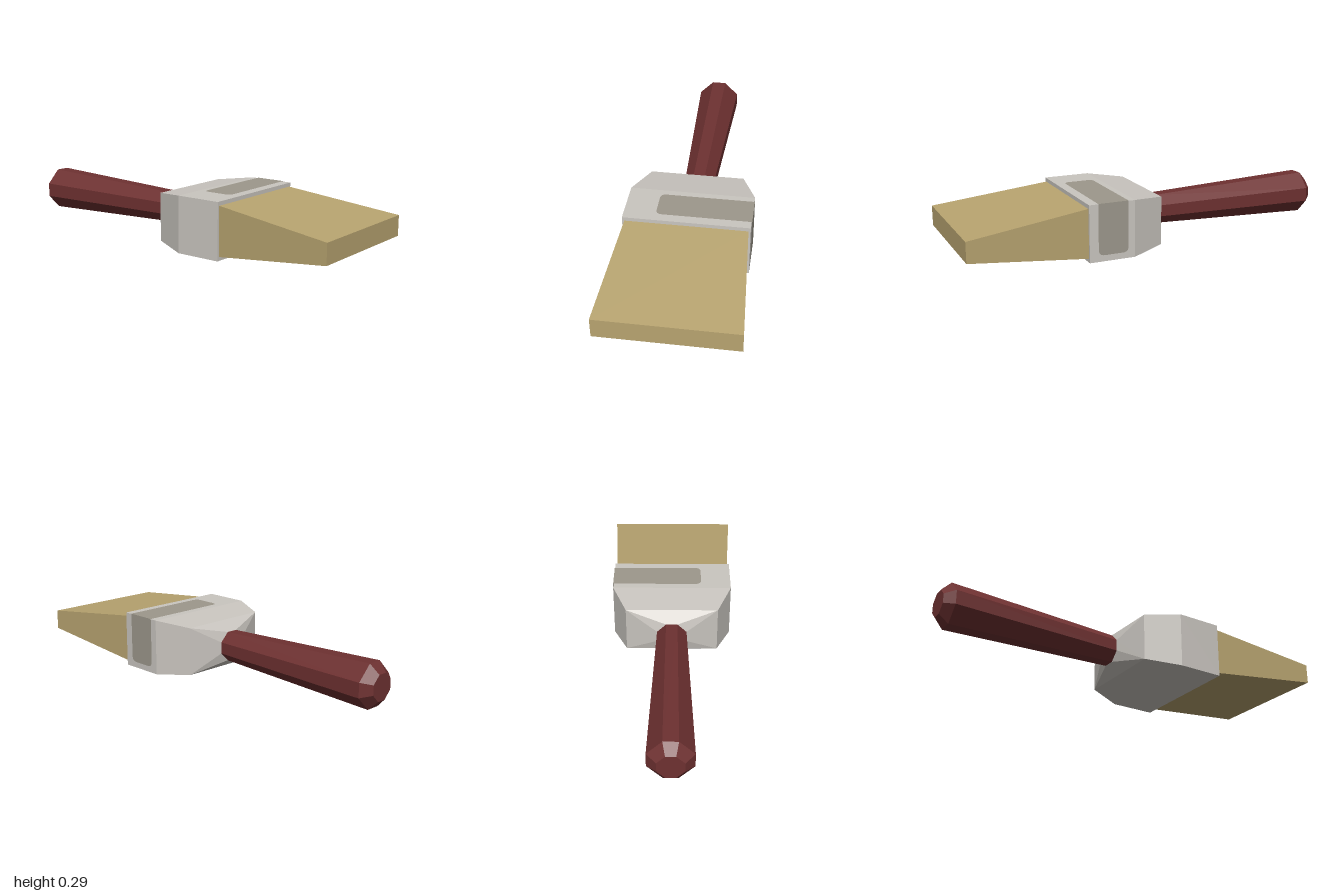
import * as THREE from 'three';

const CY = 0.143; // height of the brush's long axis

const wood = new THREE.MeshStandardMaterial({ name: 'dark red wood', color: 0x6e3131 });
const metal = new THREE.MeshStandardMaterial({ name: 'pale metal', color: 0xcac6c0 });
const hair = new THREE.MeshStandardMaterial({ name: 'tan bristle', color: 0xb8a470 });
const label = new THREE.MeshStandardMaterial({ name: 'grey label', color: 0x9d988c, side: THREE.DoubleSide });

// Eight-cornered ring: half height h, half width w, half lengths fh and fw of the flats.
// With fh = h and fw = w it becomes a plain rectangle.
function ring(x, h, w, fh = h, fw = w) {
  return [[h, -fw], [h, fw], [fh, w], [-fh, w], [-h, fw], [-h, -fw], [-fh, -w], [fh, -w]]
    .map(([y, z]) => new THREE.Vector3(x, CY + y, z));
}

// Flat-faced solid running through rings along x, capped at both ends.
function loft(name, rings, material) {
  const pos = [];
  const tri = (a, b, c) => {
    if (new THREE.Triangle(a, b, c).getArea() > 1e-7) {
      for (const p of [a, b, c]) pos.push(p.x, p.y, p.z);
    }
  };
  const n = rings[0].length;
  const first = rings[0], last = rings[rings.length - 1];
  const mid = (r) => new THREE.Vector3(r[0].x, CY, 0);
  for (let j = 0; j < n; j++) {
    const k = (j + 1) % n;
    for (let i = 0; i < rings.length - 1; i++) {
      const r = rings[i], s = rings[i + 1];
      tri(r[j], r[k], s[k]);
      tri(r[j], s[k], s[j]);
    }
    tri(mid(first), first[k], first[j]);
    tri(mid(last), last[j], last[k]);
  }
  const geometry = new THREE.BufferGeometry();
  geometry.setAttribute('position', new THREE.Float32BufferAttribute(pos, 3));
  geometry.computeVertexNormals();
  const mesh = new THREE.Mesh(geometry, material);
  mesh.name = name;
  return mesh;
}

// Strip hanging down from y = 0, with its two lower corners rounded.
function strip(x0, x1, length, r) {
  const s = new THREE.Shape();
  s.moveTo(x0, 0);
  s.lineTo(x0, r - length);
  s.quadraticCurveTo(x0, -length, x0 + r, -length);
  s.lineTo(x1 - r, -length);
  s.quadraticCurveTo(x1, -length, x1, r - length);
  s.lineTo(x1, 0);
  return new THREE.ShapeGeometry(s, 6);
}

export function createModel() {
  const brush = new THREE.Group();
  brush.name = 'paintbrush';

  // Handle: faceted, tapering to the neck, with a bevelled butt
  const oct = (x, r, f) => ring(x, r, r, f, f);
  brush.add(loft('handle', [
    oct(-1, 0.063, 0.024),
    oct(-0.955, 0.108, 0.036),
    oct(-0.06, 0.075, 0.029),
  ], wood));

  // Ferrule: octagonal neck opening into a rectangular sleeve
  const H = 0.142, W = 0.308;
  brush.add(loft('ferrule', [
    oct(-0.065, 0.075, 0.029),
    ring(-0.005, 0.122, 0.235),
    ring(0.17, H, W),
    ring(0.405, H, W),
  ], metal));

  // Bristles: flare sideways and thin out towards the tip
  brush.add(loft('bristles', [
    ring(0.4, 0.123, 0.297),
    ring(1, 0.051, 0.335),
  ], hair));

  // Label folded over the top back edge of the ferrule
  const e = 0.002;
  const labelTop = new THREE.Mesh(strip(0.205, 0.36, 0.463, 0.03).rotateX(-Math.PI / 2), label);
  labelTop.name = 'labelTop';
  labelTop.position.set(0, CY + H + e, -W - e);
  const labelBack = new THREE.Mesh(strip(0.205, 0.36, 0.255, 0.03), label);
  labelBack.name = 'labelBack';
  labelBack.position.set(0, CY + H + e, -W - e);
  brush.add(labelTop, labelBack);

  return brush;
}
